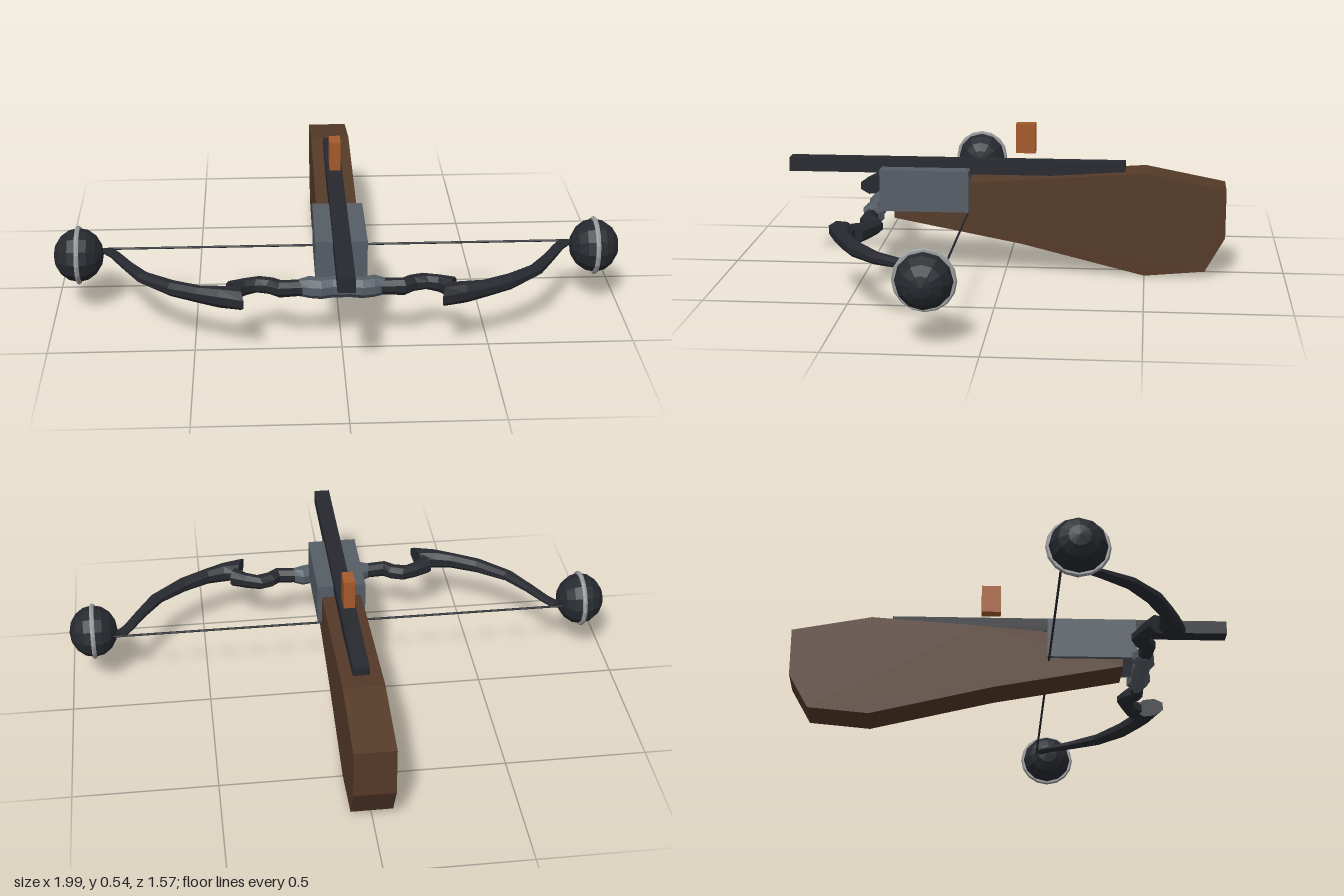
import * as THREE from 'three';

const mat = (color) => new THREE.MeshStandardMaterial({ color, flatShading: true });

// Octagonal loft; each section is [innerX, innerZ, outerX, outerZ, halfHeight] about height y
function loft(sections, y, sides = 8) {
  const rings = sections.map(([ix, iz, ox, oz, h]) => {
    const c = new THREE.Vector3((ix + ox) / 2, y, (iz + oz) / 2);
    const d = new THREE.Vector3((ox - ix) / 2, 0, (oz - iz) / 2);
    const pts = [];
    for (let k = 0; k < sides; k++) {
      const a = ((k + 0.5) / sides) * Math.PI * 2;
      const s = 1 / Math.cos(Math.PI / sides);
      const p = c.clone().addScaledVector(d, Math.cos(a) * s);
      p.y += h * s * Math.sin(a);
      pts.push(p);
    }
    return { c, pts };
  });
  const out = [];
  const tri = (...v) => v.forEach((p) => out.push(p.x, p.y, p.z));
  const last = rings.length - 1;
  for (let k = 0; k < sides; k++) {
    const n = (k + 1) % sides;
    for (let i = 0; i < last; i++) {
      const a = rings[i].pts, b = rings[i + 1].pts;
      tri(a[k], b[k], a[n]);
      tri(a[n], b[k], b[n]);
    }
    tri(rings[0].c, rings[0].pts[k], rings[0].pts[n]);
    tri(rings[last].c, rings[last].pts[n], rings[last].pts[k]);
  }
  const g = new THREE.BufferGeometry();
  g.setAttribute('position', new THREE.Float32BufferAttribute(out, 3));
  g.computeVertexNormals();
  return g;
}

// Reversing the order keeps the faces outward after the flip in x
const mirrored = (s) => s.map(([a, b, c, d, h]) => [-a, b, -c, d, h]).reverse();

export function createModel() {
  const model = new THREE.Group();
  const wood = mat(0x553a28), dark = mat(0x26292f), steel = mat(0x555d66);
  const orange = mat(0xa65a2a), silver = mat(0x9a9c9e);
  const bowY = 0.22;

  const add = (name, geometry, material, x = 0, y = 0, z = 0, parent = model) => {
    const mesh = new THREE.Mesh(geometry, material);
    mesh.name = name;
    mesh.position.set(x, y, z);
    parent.add(mesh);
    return mesh;
  };

  // Wooden stock: side profile in (z, y), extruded across x
  const profile = [
    [0.4, 0.29], [0.13, 0.333], [-0.12, 0.353], [-0.5, 0.38], [-0.785, 0.325],
    [-0.785, 0.15], [-0.715, 0.025], [-0.5, 0.005], [-0.06, 0.113], [0.4, 0.2],
  ];
  const shape = new THREE.Shape(profile.map(([z, y]) => new THREE.Vector2(-z, y)));
  const stock = new THREE.ExtrudeGeometry(shape, { depth: 0.144, bevelEnabled: false });
  stock.translate(0, 0, -0.072).rotateY(Math.PI / 2);
  add('stock', stock, wood);

  // Rail, housing and sight
  add('rail', new THREE.BoxGeometry(0.058, 0.05, 1.215), dark, 0, 0.381, 0.18);
  add('housing', new THREE.BoxGeometry(0.176, 0.15, 0.32), steel, 0, 0.303, 0.29);
  add('sight', new THREE.BoxGeometry(0.04, 0.106, 0.07), orange, 0, 0.488, -0.07);

  // Faceted riser across the front of the housing
  const half = [
    [0.03, 0.44, 0.03, 0.5, 0.034], [0.07, 0.445, 0.07, 0.512, 0.034],
    [0.11, 0.43, 0.11, 0.505, 0.034], [0.145, 0.45, 0.145, 0.49, 0.028],
  ];
  add('riser', loft([...mirrored(half), ...half], bowY), steel);

  // Kinked arm and curved limb for each side
  const arm = [
    [0.13, 0.447, 0.13, 0.495, 0.026], [0.2, 0.455, 0.215, 0.5, 0.028],
    [0.22, 0.43, 0.255, 0.475, 0.026], [0.27, 0.41, 0.295, 0.468, 0.025],
    [0.335, 0.435, 0.325, 0.48, 0.028], [0.39, 0.46, 0.36, 0.52, 0.033],
  ];
  const limb = [
    [0.36, 0.49, 0.33, 0.59, 0.034], [0.41, 0.495, 0.415, 0.558, 0.034],
    [0.47, 0.483, 0.49, 0.525, 0.028], [0.56, 0.432, 0.585, 0.478, 0.025],
    [0.655, 0.355, 0.692, 0.385, 0.019], [0.72, 0.26, 0.752, 0.282, 0.014],
    [0.765, 0.18, 0.797, 0.2, 0.01], [0.795, 0.135, 0.835, 0.155, 0.008],
  ];
  for (const [side, name] of [[1, 'left'], [-1, 'right']]) {
    const pick = (s) => (side > 0 ? s : mirrored(s));
    add(name + 'Arm', loft(pick(arm), bowY), dark);
    add(name + 'Limb', loft(pick(limb), bowY), dark);

    // Round end weight with a thin rim
    const wheel = new THREE.Group();
    wheel.name = name + 'Wheel';
    wheel.position.set(side * 0.91, bowY, 0.18);
    model.add(wheel);
    const ball = new THREE.SphereGeometry(0.095, 12, 8);
    ball.rotateZ(Math.PI / 2).scale(0.92, 1, 1);
    add(name + 'Ball', ball, dark, 0, 0, 0, wheel);
    const rim = new THREE.TorusGeometry(0.095, 0.009, 6, 16);
    rim.rotateY(Math.PI / 2);
    add(name + 'Rim', rim, silver, 0, 0, 0, wheel);
  }

  // Bowstring between the wheels
  const string = new THREE.CylinderGeometry(0.004, 0.004, 1.68, 6);
  string.rotateZ(Math.PI / 2);
  add('bowstring', string, dark, 0, bowY, 0.135);

  return model;
}
